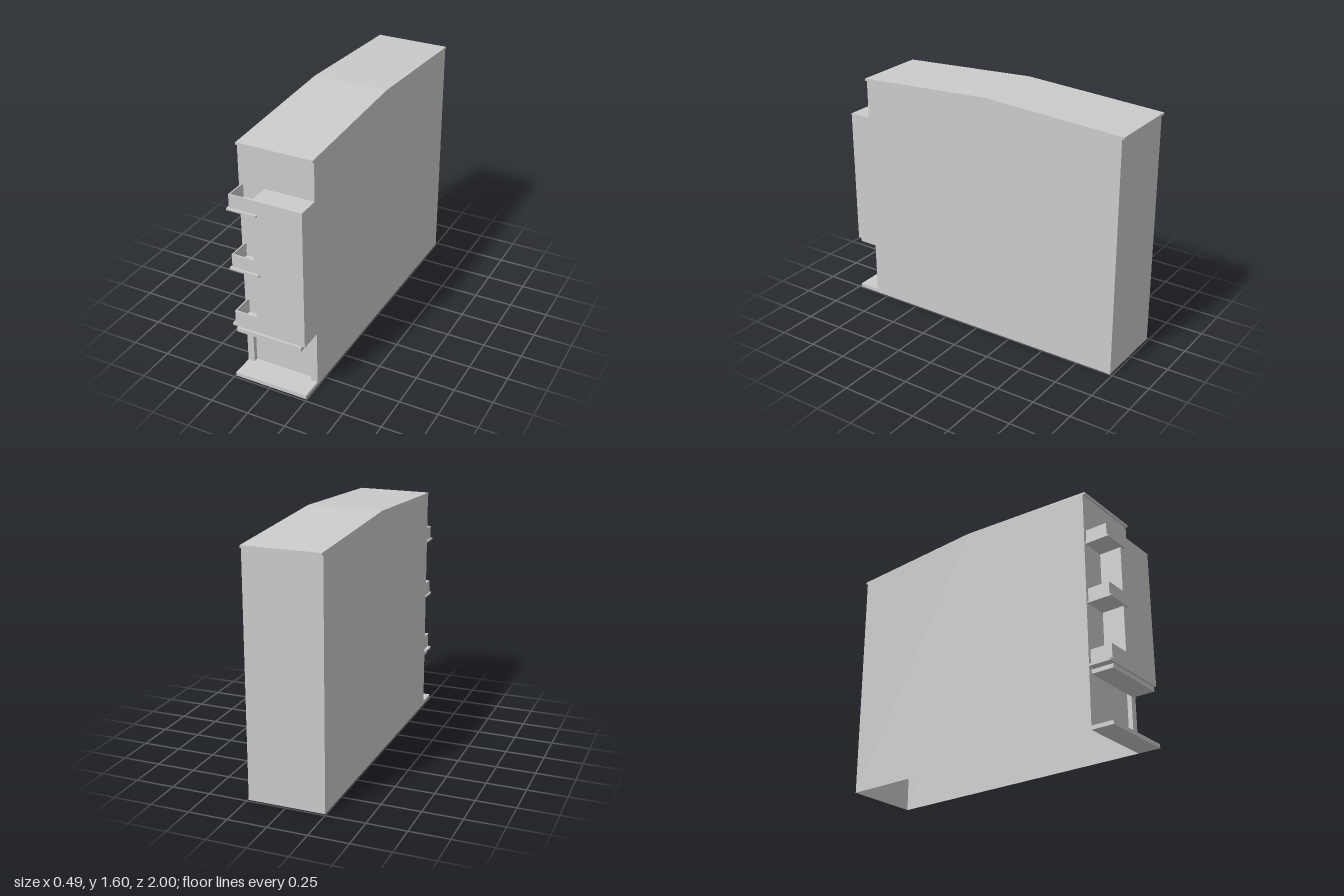
import * as THREE from 'three';

const HALF = 0.245;          // half of the building width
const FRONT = 0.84, BACK = -0.985, BAY = 0.985;
const RIDGE = -0.07;         // z of the roof ridge

export function createModel() {
  const model = new THREE.Group();
  const mat = new THREE.MeshStandardMaterial({ color: 0xcccccc, side: THREE.DoubleSide });

  const add = (name, geometry, parent = model) => {
    const mesh = new THREE.Mesh(geometry, mat);
    mesh.name = name;
    parent.add(mesh);
    return mesh;
  };
  // Box given by its limits
  const box = (name, x0, x1, y0, y1, z0, z1, parent) =>
    add(name, new THREE.BoxGeometry(x1 - x0, y1 - y0, z1 - z0), parent)
      .position.set((x0 + x1) / 2, (y0 + y1) / 2, (z0 + z1) / 2);
  const shapeOf = (pts) => new THREE.Shape(pts.map(([a, b]) => new THREE.Vector2(a, b)));
  const rect = (x0, x1, y0, y1) => [[x0, y0], [x1, y0], [x1, y1], [x0, y1]];

  // Hollow shell, open at the bottom: gabled side walls
  const side = shapeOf([[BACK, 0], [FRONT, 0], [FRONT, 1.535], [RIDGE, 1.585], [BACK, 1.535]]);
  for (const [name, x] of [['leftWall', HALF], ['rightWall', -HALF]]) {
    add(name, new THREE.ShapeGeometry(side).rotateY(-Math.PI / 2)).position.x = x;
  }
  const back = new THREE.ShapeGeometry(shapeOf(rect(-HALF, HALF, 0, 1.535))).rotateY(Math.PI);
  add('backWall', back).position.z = BACK;

  // Front wall with the shop opening
  const front = shapeOf(rect(-HALF, HALF, 0, 1.535));
  front.holes.push(shapeOf(rect(-0.2, 0.2, 0.025, 0.385)));
  add('frontWall', new THREE.ShapeGeometry(front)).position.z = FRONT;

  // Recessed shop front: back panel and reveals
  const shop = new THREE.Group();
  shop.name = 'shopFront';
  model.add(shop);
  const depth = 0.03;
  const zMid = FRONT - depth / 2;
  add('shopPanel', new THREE.PlaneGeometry(0.4, 0.36), shop).position.set(0, 0.205, FRONT - depth);
  for (const s of [-1, 1]) {
    add('shopReveal', new THREE.PlaneGeometry(depth, 0.36).rotateY(-s * Math.PI / 2), shop)
      .position.set(s * 0.2, 0.205, zMid);
    add('shopSill', new THREE.PlaneGeometry(0.4, depth).rotateX(s * Math.PI / 2), shop)
      .position.set(0, 0.205 + s * 0.18, zMid);
  }

  // Shallow pitched roof sheet, overhanging front and back
  const roof = shapeOf([[-1, 1.53], [RIDGE, 1.58], [0.855, 1.53],
    [0.855, 1.545], [RIDGE, 1.595], [-1, 1.545]]);
  add('roof', new THREE.ExtrudeGeometry(roof, { depth: 2 * HALF, bevelEnabled: false })
    .rotateY(-Math.PI / 2)).position.x = HALF;

  // Entrance step, canopy and the projecting bay
  box('entranceStep', -HALF, HALF, 0, 0.025, FRONT, BAY);
  box('canopy', -0.22, 0.22, 0.345, 0.372, FRONT, BAY);
  box('baySlab', -HALF, HALF, 0.385, 0.4, FRONT, BAY);
  box('bay', -0.075, HALF, 0.4, 1.285, FRONT, BAY);

  // Balconies: thin parapets, the upper two on wider floor slabs
  [0.4, 0.803, 1.2].forEach((y, i) => {
    const balcony = new THREE.Group();
    balcony.name = 'balcony';
    model.add(balcony);
    const top = [0.495, 0.89, 1.285][i];
    box('frontParapet', -0.225, -0.075, y, top, BAY - 0.008, BAY, balcony);
    box('sideParapet', -0.225, -0.217, y, top, FRONT, BAY - 0.008, balcony);
    if (i > 0) {
      box('balconyFloor', -0.235, -0.04, y - 0.012, y, FRONT, 1, balcony);
    }
  });

  return model;
}
